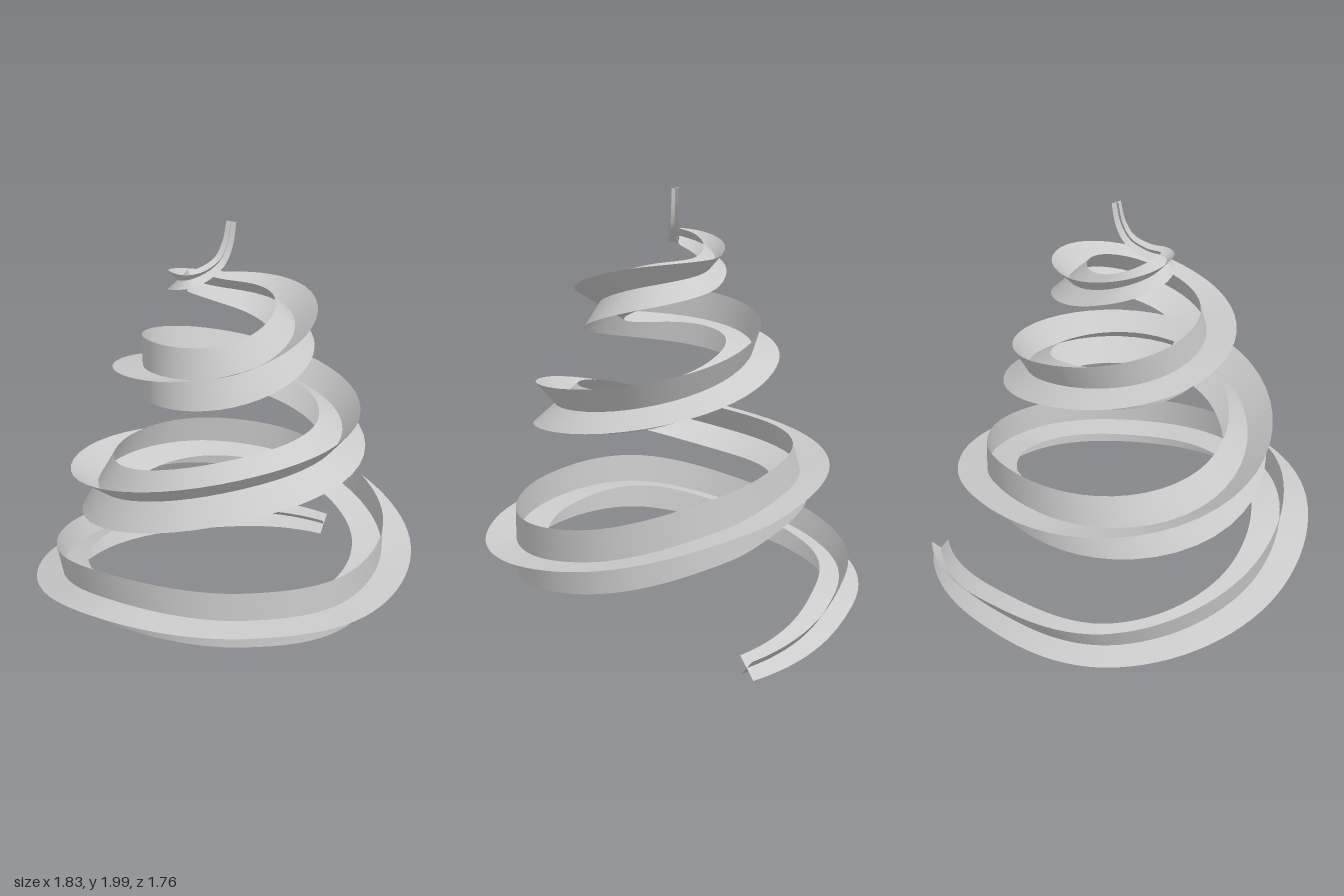
import * as THREE from 'three';

const STEPS = 280;

// Spiral keys: quarter turns (0 = back, 1 = left side, 2 = front), radius, height, arm length, twist in degrees
const KEYS = [
  [-0.48, 0.96, 0.05, 0.06, 45],
  [0, 0.795, 0.122, 0.092, 60],
  [0.5, 0.805, 0.182, 0.11, 70],
  [1, 0.79, 0.29, 0.13, 80],
  [1.5, 0.76, 0.42, 0.14, 86],
  [2, 0.74, 0.41, 0.14, 90],
  [2.5, 0.76, 0.37, 0.145, 90],
  [3, 0.77, 0.43, 0.142, 90],
  [3.5, 0.69, 0.565, 0.145, 93],
  [4, 0.60, 0.655, 0.142, 98],
  [5, 0.60, 0.745, 0.15, 123],
  [6, 0.56, 0.965, 0.14, 135],
  [7, 0.55, 1.05, 0.135, 146],
  [8, 0.38, 1.225, 0.128, 159],
  [9, 0.37, 1.34, 0.14, 180],
  [10, 0.36, 1.42, 0.135, 205],
  [11, 0.315, 1.565, 0.13, 225],
  [12, 0.19, 1.64, 0.08, 228],
  [13, 0.205, 1.742, 0.06, 228],
  // tail runs in to the axis and turns up
  [13.32, 0.185, 1.77, 0.043, 226],
  [13.34, 0.10, 1.785, 0.035, 225],
  [13.34, 0.02, 1.825, 0.029, 225],
  [13.34, -0.025, 1.90, 0.025, 225],
  [13.34, -0.045, 1.995, 0.022, 225],
];

const curve = (pick) => new THREE.CatmullRomCurve3(
  KEYS.map((k) => new THREE.Vector3(...pick(k))), false, 'catmullrom', 0.5);
const path = curve((k) => [k[0], k[1], k[2]]);
const section = curve((k) => [k[3], THREE.MathUtils.degToRad(k[4]), 0]);

function centre(t) {
  const p = path.getPoint(THREE.MathUtils.clamp(t, 0, 1));
  const a = p.x * Math.PI / 2;
  return new THREE.Vector3(-p.y * Math.sin(a), p.z, -p.y * Math.cos(a));
}

// Flat ribbon through the path centre, turned by an extra angle about the path
function ribbon(turn) {
  const up = new THREE.Vector3(0, 1, 0);
  const positions = [], index = [];
  for (let i = 0; i <= STEPS; i++) {
    const t = i / STEPS;
    const c = centre(t);
    const tangent = centre(t + 0.001).sub(centre(t - 0.001)).normalize();
    const out = tangent.clone().cross(up).normalize();
    const rise = out.clone().cross(tangent);
    const s = section.getPoint(t);
    const dir = out.multiplyScalar(Math.cos(s.y + turn))
      .addScaledVector(rise, Math.sin(s.y + turn));
    // rows of three: one tip, the centre, the other tip
    for (const k of [-1, 0, 1]) {
      const v = c.clone().addScaledVector(dir, k * s.x);
      positions.push(v.x, v.y, v.z);
    }
    if (i < STEPS) {
      for (let j = 0; j < 2; j++) {
        const a = i * 3 + j;
        index.push(a, a + 1, a + 3, a + 1, a + 4, a + 3);
      }
    }
  }
  const g = new THREE.BufferGeometry();
  g.setAttribute('position', new THREE.Float32BufferAttribute(positions, 3));
  g.setIndex(index);
  g.computeVertexNormals();
  return g;
}

export function createModel() {
  const group = new THREE.Group();
  group.name = 'spiralTree';
  const material = new THREE.MeshStandardMaterial({ color: 0xcccccc, side: THREE.DoubleSide });
  // Two ribbons crossing at right angles
  [['firstRibbon', 0], ['crossRibbon', Math.PI / 2]].forEach(([name, turn]) => {
    const mesh = new THREE.Mesh(ribbon(turn), material);
    mesh.name = name;
    group.add(mesh);
  });
  return group;
}
